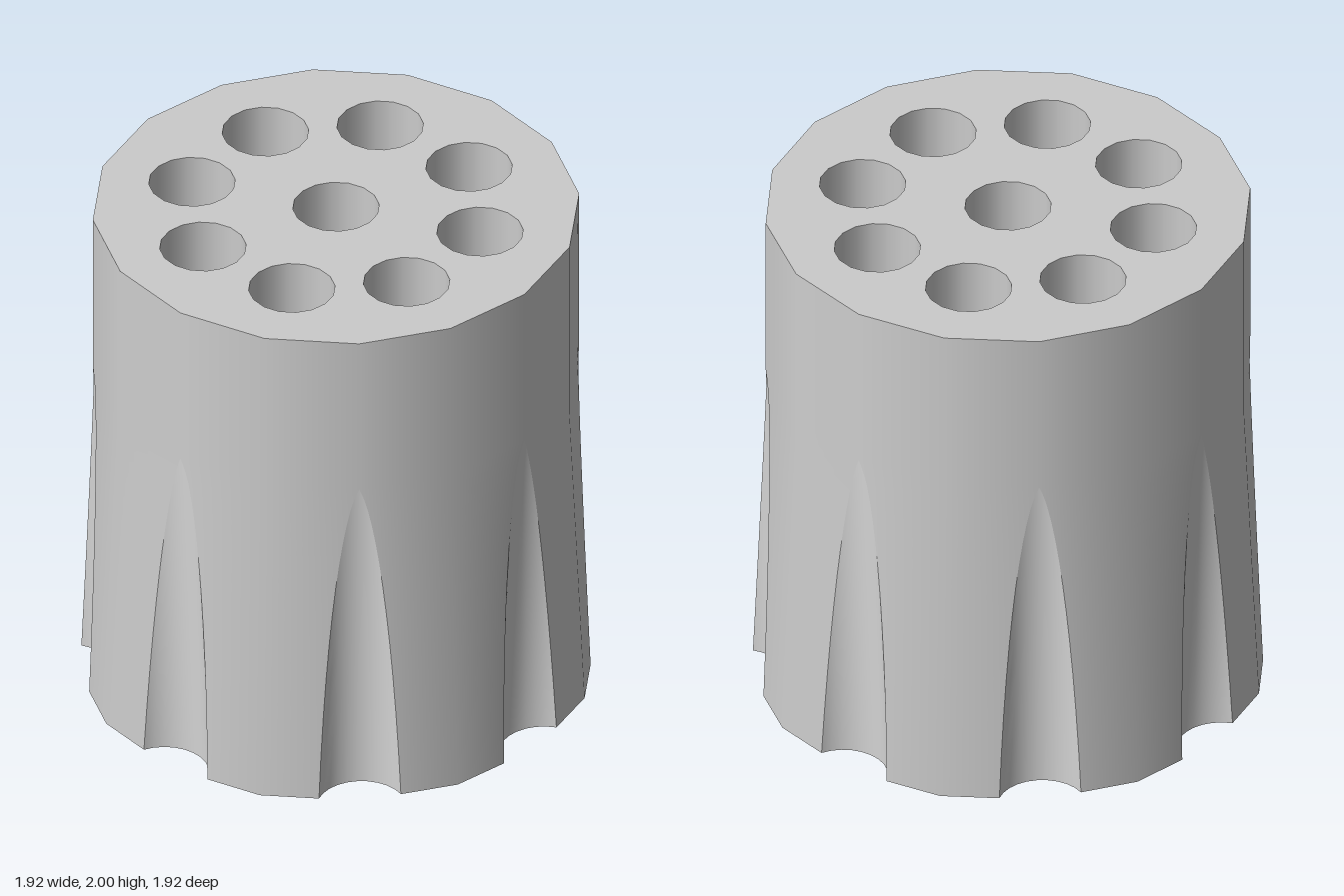
import * as THREE from 'three';

const HEIGHT = 2, HOLE_R = 0.16, RING_R = 0.555, SIDES = 16;
const FLUTE_R = 0.165, FLUTE_DEPTH = 0.13, FLUTE_TOP = 1.35, FLARE_TOP = 1.25;
const SECTOR = Math.PI / 4, DELTA = Math.PI / 16;

const bodyRadius = y => 0.9 + 0.058 * Math.max(0, 1 - y / FLARE_TOP);
const fluteDepth = y => FLUTE_DEPTH * Math.max(0, 1 - y / FLUTE_TOP);

// Half opening angle of the flute arc where it meets the flat sides of the body
const fluteAngle = y =>
  Math.acos(Math.cos(DELTA) * (FLUTE_R - fluteDepth(y)) / FLUTE_R) - DELTA;

// Turn a point (along, across) measured from a flute's centre line into x, z
function place(along, across, a) {
  return [along * Math.sin(a) + across * Math.cos(a), along * Math.cos(a) - across * Math.sin(a)];
}

// Point and normal on the flute floor, t from -1 to 1
function flutePoint(t, y, a) {
  const phi = t * fluteAngle(y), c = bodyRadius(y) + FLUTE_R - fluteDepth(y);
  const [x, z] = place(c - FLUTE_R * Math.cos(phi), FLUTE_R * Math.sin(phi), a);
  const [nx, nz] = place(Math.cos(phi), -Math.sin(phi), a);
  return { p: [x, y, z], n: [nx, 0.1, nz] };
}

// Point and normal on the land between flutes: edge, corner in the middle, edge
function landPoint(t, y, a) {
  if (t === 0) {
    const r = bodyRadius(y);
    return { p: [r * Math.sin(a), y, r * Math.cos(a)], n: [Math.sin(a), 0.04, Math.cos(a)] };
  }
  const p = flutePoint(-t, y, a + t * SECTOR / 2).p;
  const b = Math.atan2(p[0], p[2]);
  return { p, n: [Math.sin(b), 0.04, Math.cos(b)] };
}

// Grid patch, counterclockwise round the body and upwards
function patch(pointAt, a, cols, levels) {
  const pos = [], nor = [], index = [];
  levels.forEach((y, j) => {
    for (let i = 0; i <= cols; i++) {
      const { p, n } = pointAt(-1 + 2 * i / cols, y, a);
      pos.push(...p);
      nor.push(...new THREE.Vector3(...n).normalize().toArray());
      if (i < cols && j < levels.length - 1) {
        const k = j * (cols + 1) + i, up = k + cols + 1;
        index.push(k, k + 1, up + 1, k, up + 1, up);
      }
    }
  });
  const g = new THREE.BufferGeometry();
  g.setAttribute('position', new THREE.Float32BufferAttribute(pos, 3));
  g.setAttribute('normal', new THREE.Float32BufferAttribute(nor, 3));
  g.setIndex(index);
  return g;
}

// Centre hole and eight chambers
const holes = [[0, 0]];
for (let i = 0; i < 8; i++) {
  holes.push([RING_R * Math.sin(i * SECTOR), RING_R * Math.cos(i * SECTOR)]);
}

// Flat end face pierced by all holes
function endFace(y, up) {
  const outline = [];
  for (let s = 0; s < 8; s++) {
    const a = s * SECTOR;
    for (const t of [-1, 0]) outline.push(landPoint(t, y, a).p);
    for (let i = 0; i < 10; i++) outline.push(flutePoint(-1 + i / 5, y, a + SECTOR / 2).p);
  }
  const sign = up ? -1 : 1;
  // Drop repeated points where the flutes have closed
  const pts = outline.map(p => new THREE.Vector2(p[0], sign * p[2]))
    .filter((p, i, all) => p.distanceTo(all[(i + 1) % all.length]) > 1e-5);
  const shape = new THREE.Shape(pts);
  for (const [x, z] of holes) {
    const ring = [];
    for (let i = 0; i < SIDES; i++) {
      const a = i * 2 * Math.PI / SIDES;
      ring.push(new THREE.Vector2(x + HOLE_R * Math.sin(a), sign * (z + HOLE_R * Math.cos(a))));
    }
    shape.holes.push(new THREE.Path(ring));
  }
  return new THREE.ShapeGeometry(shape).rotateX(sign * Math.PI / 2).translate(0, y, 0);
}

export function createModel() {
  const group = new THREE.Group();
  const material = new THREE.MeshStandardMaterial({ color: 0xcccccc });
  const inner = new THREE.MeshStandardMaterial({ color: 0xcccccc, side: THREE.DoubleSide });
  const add = (name, geometry, mat = material) => {
    const mesh = new THREE.Mesh(geometry, mat);
    mesh.name = name;
    group.add(mesh);
    return mesh;
  };

  // Outer wall: eight lands and eight tapering flutes
  const fluteLevels = [];
  for (let i = 0; i <= 14; i++) fluteLevels.push(FLUTE_TOP * (1 - (1 - i / 14) ** 2));
  const flare = [...fluteLevels, FLARE_TOP].sort((a, b) => a - b);
  for (let s = 0; s < 8; s++) {
    add('land', patch(landPoint, s * SECTOR, 2, [...flare, HEIGHT]));
    add('flute', patch(flutePoint, (s + 0.5) * SECTOR, 10, flare));
  }

  // End faces
  add('topFace', endFace(HEIGHT, true));
  add('bottomFace', endFace(0, false));

  // Bore walls
  holes.forEach(([x, z], i) => {
    const bore = new THREE.CylinderGeometry(HOLE_R, HOLE_R, HEIGHT, SIDES, 1, true);
    add(i ? 'chamberWall' : 'centreBoreWall', bore, inner).position.set(x, HEIGHT / 2, z);
  });

  return group;
}
